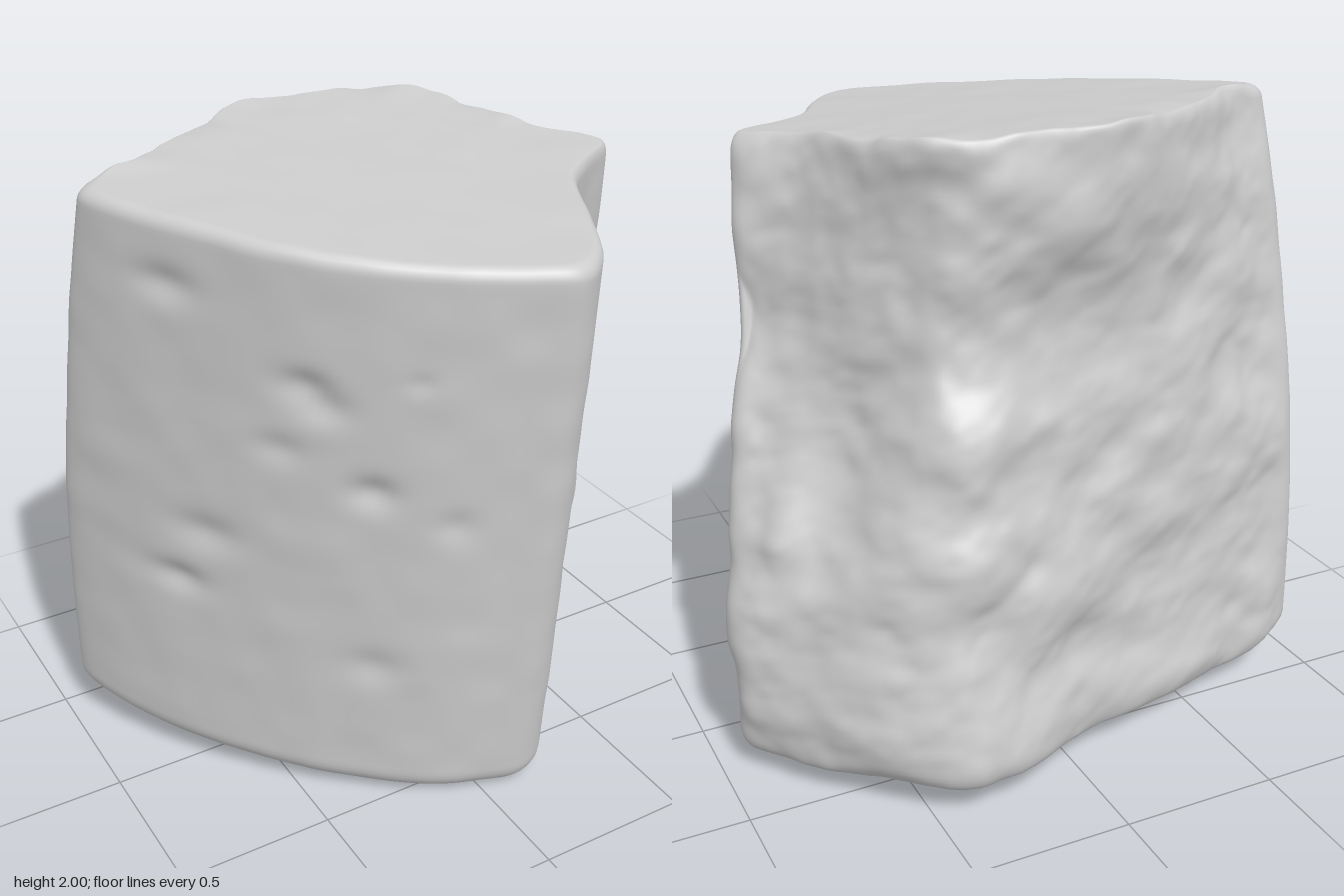
import * as THREE from 'three';

// Outlines [x, z] at the bottom, middle and top, counter-clockwise from the front edge
const BOTTOM = [[.14, .67], [.25, .59], [.39, .36], [.5, .16], [.66, .01], [.86, -.12], [.95, -.26], [.87, -.4], [.68, -.62], [.47, -.81],
  [.27, -.81], [-.05, -.69], [-.4, -.59], [-.74, -.52], [-.91, -.46], [-.94, -.36], [-.79, -.04], [-.52, .29], [-.22, .54], [.01, .65]];
const MIDDLE = [[.15, .745], [.26, .66], [.38, .45], [.49, .24], [.62, .1], [.82, -.02], [.865, -.12], [.76, -.25], [.6, -.45], [.42, -.61],
  [.22, -.63], [-.08, -.58], [-.4, -.54], [-.72, -.43], [-.91, -.39], [-.935, -.28], [-.77, .04], [-.52, .36], [-.22, .61], [.02, .72]];
const TOP = [[.16, .81], [.27, .72], [.38, .52], [.49, .31], [.6, .21], [.73, .13], [.735, .06], [.6, -.07], [.5, -.27], [.38, -.49],
  [.14, -.6], [-.12, -.61], [-.4, -.47], [-.68, -.26], [-.86, -.2], [-.865, -.1], [-.75, .11], [-.52, .43], [-.22, .67], [.03, .785]];

// Chips in the smooth front-left face: x, y, radius, depth
const CHIPS = [[-.5, 1.54, .05, .025], [-.46, 1.48, .05, .02], [-.35, 1.22, .05, .025], [-.15, 1.13, .05, .012], [-.7, .95, .06, .02],
  [-.76, .75, .05, .025], [-.33, .58, .06, .015], [-.76, 1.75, .05, .02], [-.55, 1.32, .05, .015], [-.25, 1.6, .03, .008]];

// Hollows and bulges of the broken faces: outline position, height, width in each, push
const LUMPS = [[9, 1.38, 3.2, .2, -.06], [9.5, .72, 1.6, .2, .055], [6, 1.42, .7, .22, -.035], [6, .5, .7, .2, .03],
  [7, .78, .35, .08, .035], [7.7, 1.1, .5, .2, -.035], [12, 1.72, 1, .12, .02], [11, .35, 1.2, .1, -.03]];

const SIDES = 280;
const COUNT = TOP.length;
const smooth = THREE.MathUtils.smoothstep;
const lerp = THREE.MathUtils.lerp;
const bell = (d, width) => Math.exp(-((d / width) ** 2));

// Smooth value noise in -1..1
function hash(x, y, z) {
  const s = Math.sin(x * 127.1 + y * 311.7 + z * 74.7) * 43758.5453;
  return (s - Math.floor(s)) * 2 - 1;
}
function noise(x, y, z) {
  const i = Math.floor(x), j = Math.floor(y), k = Math.floor(z);
  const a = smooth(x - i, 0, 1), b = smooth(y - j, 0, 1), c = smooth(z - k, 0, 1);
  const row = (q, r) => lerp(hash(i, q, r), hash(i + 1, q, r), a);
  const layer = (r) => lerp(row(j, r), row(j + 1, r), b);
  return lerp(layer(k), layer(k + 1), c);
}
function rockNoise(x, y, z) {
  let sum = 0;
  for (let o = 0, f = 3, amp = 0.04; o < 4; o++, f *= 2, amp *= 0.4) {
    sum += amp * noise(x * f + o * 7, y * f * 1.2 + o * 3, z * f);
  }
  return sum;
}

const sampleOutline = (points) => {
  const curve = new THREE.CatmullRomCurve3(points.map(([x, z]) => new THREE.Vector3(x, 0, z)), true, 'catmullrom', 0.5);
  return Array.from({ length: SIDES }, (_, i) => curve.getPoint(i / SIDES));
};

// Ring list: t = height fraction, inset = rounding of the rims, cap = shrink across the end faces
function makeRings() {
  const rings = [];
  const t0 = 0.052, t1 = 0.977, insetLow = 0.18, insetHigh = 0.06;
  for (let i = 0; i <= 14; i++) rings.push({ t: 0, inset: insetLow, cap: i / 14 });
  for (let i = 1; i <= 8; i++) {
    const a = i / 8 * Math.PI / 2;
    rings.push({ t: t0 * (1 - Math.cos(a)), inset: insetLow * (1 - Math.sin(a)), cap: 1 });
  }
  for (let i = 1; i <= 110; i++) rings.push({ t: lerp(t0, t1, i / 110), inset: 0, cap: 1 });
  for (let i = 1; i <= 6; i++) {
    const a = i / 6 * Math.PI / 2;
    rings.push({ t: lerp(t1, 1, Math.sin(a)), inset: insetHigh * (1 - Math.cos(a)), cap: 1 });
  }
  for (let i = 13; i >= 0; i--) rings.push({ t: 1, inset: insetHigh, cap: i / 14 });
  return rings;
}

function stoneGeometry() {
  const low = sampleOutline(BOTTOM), mid = sampleOutline(MIDDLE), high = sampleOutline(TOP);
  const rings = makeRings();
  const positions = [], indices = [];

  for (const { t, inset, cap } of rings) {
    // Quadratic blend of the three outlines
    const a = 2 * (t - 0.5) * (t - 1), b = 4 * t * (1 - t), c = 2 * t * (t - 0.5);
    const at = (i, k) => {
      const j = (i + SIDES) % SIDES;
      return a * low[j][k] + b * mid[j][k] + c * high[j][k];
    };
    const centreZ = lerp(-0.08, 0.08, t);
    const y0 = t * 1.9 + 0.05;
    for (let i = 0; i < SIDES; i++) {
      const u = i / SIDES * COUNT;
      let x = at(i, 'x'), z = at(i, 'z');
      const dx = at(i + 2, 'x') - at(i - 2, 'x'), dz = at(i + 2, 'z') - at(i - 2, 'z');
      const len = Math.hypot(dx, dz);

      // Broken faces at the back, worn faces at the front
      const rough = smooth(u, 5.8, 6.6) * (1 - smooth(u, 13.2, 14.2));
      let push = rough * rockNoise(x, y0, z) + 0.003 * noise(x * 9, y0 * 9, z * 9);
      for (const [lu, ly, wu, wy, depth] of LUMPS) push += depth * bell(u - lu, wu) * bell(y0 - ly, wy);
      // Ragged rim where the broken right-hand face begins
      push += 0.014 * bell(u - 6, 0.5) * noise(2, y0 * 9, 5);
      if (u > 15) {
        for (const [cx, cy, r, depth] of CHIPS) push -= depth * bell(Math.hypot(x - cx, y0 - cy), r);
      }
      // Small pits on the right-hand face
      if (u > 1 && u < 5) push -= 0.005 * smooth(noise(x * 14, y0 * 14, z * 14), 0.6, 0.95);

      // Move along the outward normal, then shrink towards the middle; the broken rim stays sharper
      const sharp = 0.6 * smooth(u, 3, 6) * (1 - smooth(u, 13, 14.2));
      const scale = cap * (1 - inset * (1 - sharp));
      x = (x - dz / len * push) * scale;
      z = centreZ + (z + dx / len * push - centreZ) * scale;

      // Slanting top and bottom faces
      const yLow = 0.038 - 0.075 * z + 0.03 * Math.max(0, -x - 0.3);
      const yHigh = 1.935 - 0.09 * z - 0.02 * x;
      const bump = 0.003 * t * noise(x * 8, 3, z * 8) + 0.012 * t * rough * noise(x * 12, 8, z * 12) * scale ** 6;
      positions.push(x, lerp(yLow, yHigh, t) + bump, z);
    }
  }

  for (let r = 0; r < rings.length - 1; r++) {
    for (let i = 0; i < SIDES; i++) {
      const j = (i + 1) % SIDES;
      const p = r * SIDES + i, q = r * SIDES + j;
      if (rings[r].cap > 0) indices.push(p, q, q + SIDES);
      if (rings[r + 1].cap > 0) indices.push(p, q + SIDES, p + SIDES);
    }
  }
  const geometry = new THREE.BufferGeometry();
  geometry.setAttribute('position', new THREE.Float32BufferAttribute(positions, 3));
  geometry.setIndex(indices);
  geometry.computeVertexNormals();
  return geometry;
}

export function createModel() {
  const group = new THREE.Group();
  group.name = 'stoneFragment';
  const stone = new THREE.Mesh(stoneGeometry(), new THREE.MeshStandardMaterial({ color: 0xcccccc }));
  stone.name = 'stoneBlock';
  group.add(stone);
  return group;
}
